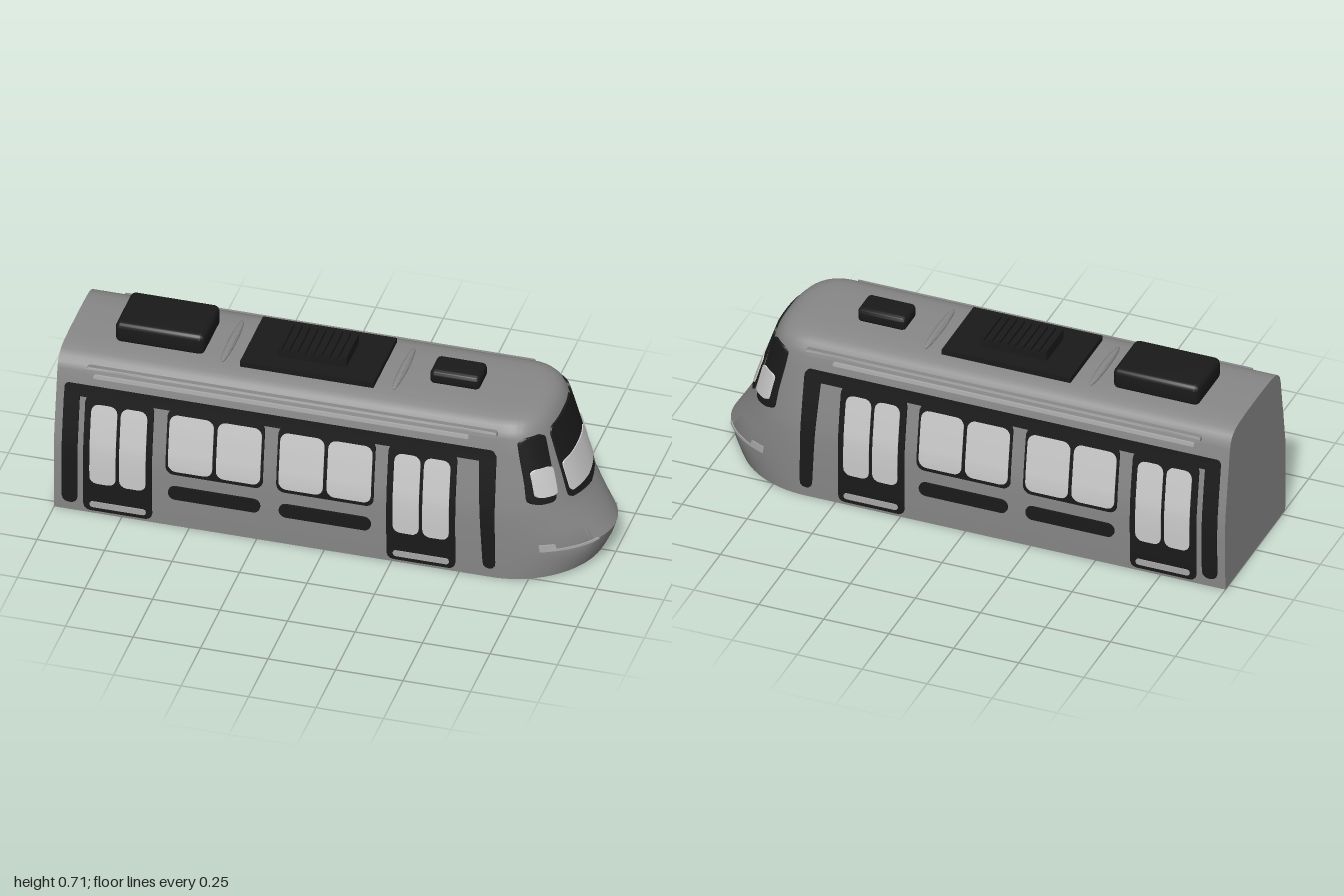
import * as THREE from 'three';
import { toCreasedNormals } from 'three/addons/utils/BufferGeometryUtils.js';
import { RoundedBoxGeometry } from 'three/addons/geometries/RoundedBoxGeometry.js';

const mat = (color) => new THREE.MeshStandardMaterial({ color, side: THREE.DoubleSide });
const GREY = mat(0x888888), BLACK = mat(0x1a1a1a), GLASS = mat(0xcccccc), LAMP = mat(0xaaaaaa);

// Body levels: height, half width, nose reach in x, roundness of the nose in plan
const LEVELS = [
  [0, 0.28, 0.955, 2], [0.02, 0.281, 0.965, 2], [0.07, 0.283, 0.985, 2], [0.125, 0.284, 1, 2],
  [0.2, 0.285, 0.953, 2.1], [0.26, 0.284, 0.918, 2.2], [0.3, 0.281, 0.896, 2.3], [0.4, 0.266, 0.862, 2.4],
  [0.5, 0.249, 0.827, 2.5], [0.57, 0.238, 0.802, 2.6], [0.595, 0.23, 0.788, 2.6], [0.612, 0.215, 0.773, 2.6],
  [0.625, 0.19, 0.752, 2.6], [0.632, 0.155, 0.725, 2.6], [0.635, 0.09, 0.69, 2.6], [0.636, 0, 0.65, 2.6],
];
const NOSE = 0.62; // x where the nose starts to round

function levelAt(y) {
  let i = 1;
  while (i < LEVELS.length - 1 && LEVELS[i][0] < y) i++;
  const a = LEVELS[i - 1], b = LEVELS[i];
  const t = THREE.MathUtils.clamp((y - a[0]) / (b[0] - a[0]), 0, 1);
  return a.map((v, k) => v + (b[k] - v) * t);
}

// Rules that lay a point (along, up, out) on the side wall or on the nose
const onSide = (a, y, d) => [a, y, levelAt(y)[1] + d];
const onNose = (a, y, d) => {
  const [, w, reach, p] = levelAt(y);
  const k = Math.min(Math.abs(a) / w, 1);
  return [NOSE + (reach - NOSE) * Math.pow(1 - Math.pow(k, p), 1 / p) + d, y, -a];
};

// Rounded plate bent onto the body; bottom and top give its [start, end] along the wall
function plate(place, y0, y1, bottom, top, r, dIn, dOut, sag = 0) {
  const g = new THREE.BoxGeometry(2, 2, 2, 12, 20, 1), p = g.attributes.position;
  const h = y1 - y0;
  for (let i = 0; i < p.count; i++) {
    const u = p.getX(i), v = Math.sin(p.getY(i) * Math.PI / 2), t = (v + 1) / 2;
    const edge = Math.min(t, 1 - t) * h;
    const inset = edge < r ? r - Math.sqrt(Math.max(0, r * r - (r - edge) ** 2)) : 0;
    const a0 = bottom[0] + (top[0] - bottom[0]) * t + inset;
    const a1 = bottom[1] + (top[1] - bottom[1]) * t - inset;
    const y = y0 + t * h - sag * (1 - Math.abs(u)) * (1 - t);
    p.setXYZ(i, ...place(a0 + (a1 - a0) * (u + 1) / 2, y, p.getZ(i) > 0 ? dOut : dIn));
  }
  return g;
}

function mirrored(g) {
  const m = g.clone().scale(1, 1, -1);
  m.setIndex(Array.from(m.index.array).reverse());
  return m;
}

// Open-bottomed shell swept around the plan at every level
function shellGeometry() {
  const N = 48, pos = [], index = [], cols = N + 3;
  for (const [y, w, reach, p] of LEVELS) {
    pos.push(-1, y, w);
    for (let i = 0; i <= N; i++) {
      const a = (i / N) * Math.PI, c = Math.cos(a), s = Math.max(Math.sin(a), 0);
      const lift = y < 0.12 ? 0.02 * s * s * (1 - y / 0.12) : 0;
      pos.push(NOSE + (reach - NOSE) * Math.pow(s, 2 / p), y + lift,
        w * Math.sign(c) * Math.pow(Math.abs(c), 2 / p));
    }
    pos.push(-1, y, -w);
  }
  for (let j = 0; j < LEVELS.length - 1; j++)
    for (let i = 0; i < cols - 1; i++) {
      const a = j * cols + i, b = a + cols;
      index.push(a, a + 1, b + 1, a, b + 1, b);
    }
  const g = new THREE.BufferGeometry();
  g.setAttribute('position', new THREE.Float32BufferAttribute(pos, 3));
  g.setIndex(index);
  return g;
}

export function createModel() {
  const model = new THREE.Group();
  model.name = 'tram';
  const add = (name, geometry, material, crease = 0.6) => {
    const mesh = new THREE.Mesh(toCreasedNormals(geometry, crease), material);
    mesh.name = name;
    model.add(mesh);
    return mesh;
  };
  const pair = (name, g, material) => {
    add(name + 'Left', g, material);
    add(name + 'Right', mirrored(g), material);
  };
  const side = (name, x0, x1, y0, y1, r, dIn, dOut, material) =>
    pair(name, plate(onSide, y0, y1, [x0, x1], [x0, x1], r, dIn, dOut), material);

  // Shell and flat rear wall
  add('bodyShell', shellGeometry(), GREY);
  const half = LEVELS.map(([y, w]) => new THREE.Vector2(w, y));
  const outline = half.concat(half.slice(0, -1).reverse().map((q) => new THREE.Vector2(-q.x, q.y)));
  add('rearWall', new THREE.ShapeGeometry(new THREE.Shape(outline)).rotateY(-Math.PI / 2).translate(-1, 0, 0), GREY);

  // Dark belt: top strip and two legs
  side('beltTop', -0.97, 0.625, 0.475, 0.52, 0.018, -0.004, 0.004, BLACK);
  side('beltRearLeg', -0.97, -0.912, 0.035, 0.51, 0.025, -0.004, 0.005, BLACK);
  pair('beltFrontLeg', plate(onSide, 0.04, 0.515, [0.59, 0.635], [0.565, 0.63], 0.02, -0.004, 0.005), BLACK);

  // Double doors
  for (const x of [-0.762, 0.361]) {
    side('doorFrame', x - 0.128, x + 0.126, 0.014, 0.485, 0.025, -0.006, 0.006, BLACK);
    side('doorGlassRear', x - 0.104, x - 0.007, 0.135, 0.455, 0.028, -0.009, 0.009, GLASS);
    side('doorGlassFront', x + 0.006, x + 0.104, 0.135, 0.455, 0.028, -0.009, 0.009, GLASS);
    side('doorStep', x - 0.104, x + 0.104, 0.03, 0.055, 0.012, -0.009, 0.009, LAMP);
  }

  // Twin windows with a dark vent below each
  for (const x of [-0.405, 0.005]) {
    side('windowFrame', x - 0.18, x + 0.18, 0.225, 0.485, 0.03, -0.005, 0.005, BLACK);
    side('windowGlassRear', x - 0.171, x - 0.007, 0.24, 0.462, 0.03, -0.008, 0.008, GLASS);
    side('windowGlassFront', x + 0.007, x + 0.171, 0.24, 0.462, 0.03, -0.008, 0.008, GLASS);
    side('vent', x - 0.17, x + 0.17, 0.12, 0.175, 0.026, -0.004, 0.008, BLACK);
  }

  // Gutter rail and trim strip under the roof edge
  side('gutterRail', -0.89, 0.63, 0.578, 0.598, 0.009, -0.004, 0.018, GREY);
  side('trimStrip', -0.865, 0.525, 0.553, 0.567, 0.006, -0.003, 0.008, LAMP);

  // Windscreen, corner windows and headlights
  add('windscreenFrame', plate(onNose, 0.3, 0.572, [-0.147, 0.147], [-0.127, 0.127], 0.022, -0.006, 0.007, 0.014), BLACK);
  add('windscreenGlass', plate(onNose, 0.324, 0.439, [-0.137, 0.137], [-0.131, 0.131], 0.016, -0.011, 0.011, 0.008), GLASS);
  pair('cornerWindowFrame', plate(onNose, 0.315, 0.573, [-0.258, -0.197], [-0.227, -0.16], 0.02, -0.01, 0.011), BLACK);
  pair('cornerWindowGlass', plate(onNose, 0.342, 0.452, [-0.246, -0.193], [-0.235, -0.179], 0.014, -0.017, 0.018), GLASS);
  pair('headlight', plate(onNose, 0.125, 0.15, [-0.254, -0.231], [-0.254, -0.231], 0.001, -0.004, 0.007), LAMP);
  pair('lightStrip', plate(onNose, 0.121, 0.13, [-0.254, -0.114], [-0.254, -0.114], 0.001, -0.004, 0.005), LAMP);

  // Roof equipment
  const roofBox = (name, x0, x1, y0, y1, z, r, material = BLACK) => {
    const g = r ? new RoundedBoxGeometry(x1 - x0, y1 - y0, 2 * z, 4, r) : new THREE.BoxGeometry(x1 - x0, y1 - y0, 2 * z);
    add(name, g.translate((x0 + x1) / 2, (y0 + y1) / 2, 0), material);
  };
  roofBox('rearRoofUnit', -0.825, -0.495, 0.625, 0.711, 0.111, 0.022);
  roofBox('frontRoofUnit', 0.325, 0.51, 0.628, 0.686, 0.057, 0.018);
  roofBox('roofPlate', -0.35, 0.145, 0.638, 0.659, 0.15, 0);
  roofBox('coolerBase', -0.23, 0.025, 0.655, 0.688, 0.08, 0);
  for (let i = 0; i < 9; i++) {
    const x = -0.23 + i * 0.0298;
    roofBox('coolerSlat', x, x + 0.0166, 0.686, 0.7, 0.08, 0);
  }
  for (const x of [-0.42, 0.215])
    add('roofBar', new THREE.SphereGeometry(1, 20, 12).scale(0.016, 0.014, 0.14).translate(x, 0.637, 0), GREY, 1);

  return model;
}
